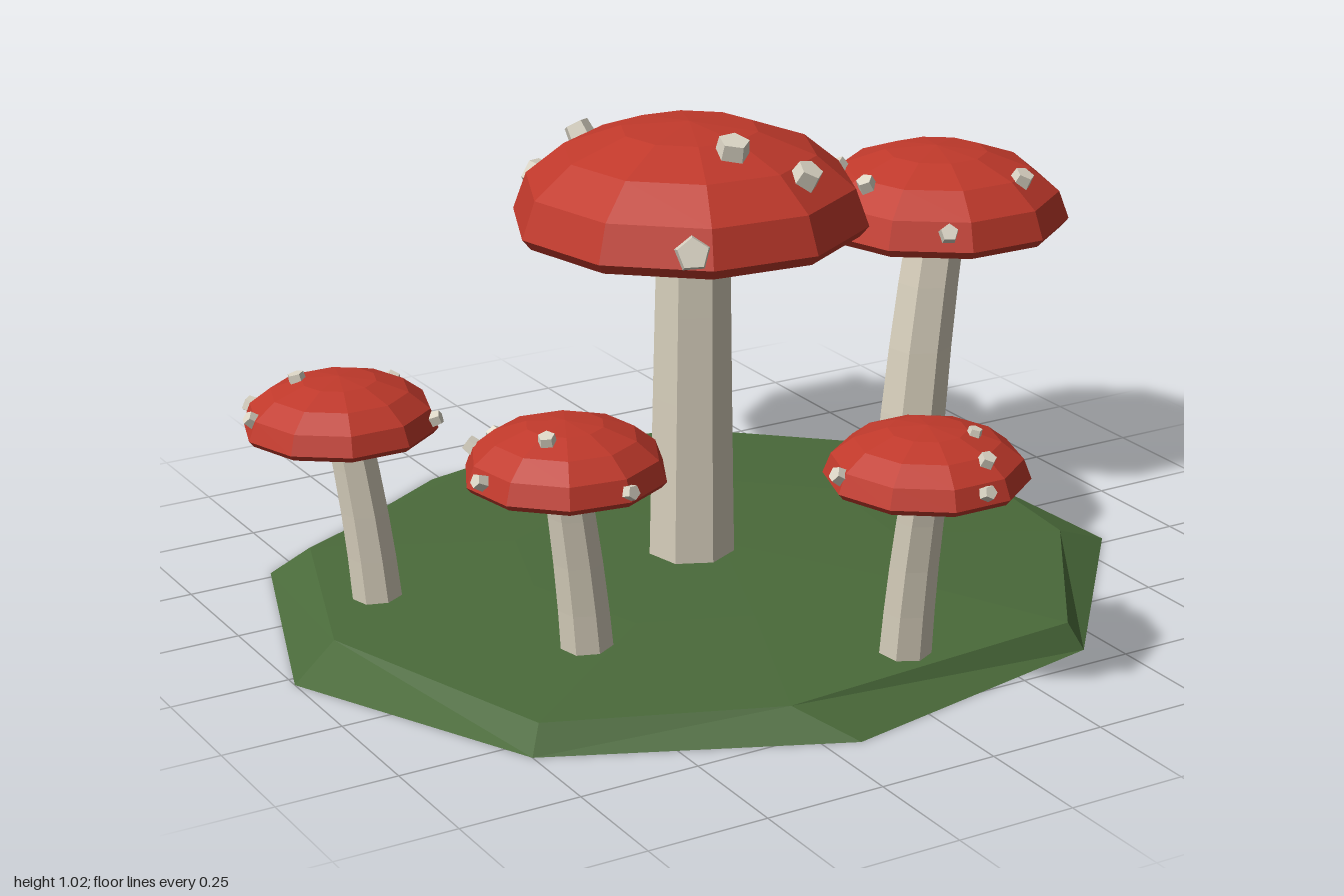
import * as THREE from 'three';

const mat = (name, color) => {
  const m = new THREE.MeshStandardMaterial({ color, flatShading: true });
  m.name = name;
  return m;
};

export function createModel() {
  const model = new THREE.Group();
  model.name = 'mushroomPatch';
  const red = mat('capRed', 0xc0392b);
  const cream = mat('stemCream', 0xd6cebb);
  const pale = mat('wartPale', 0xdad4c4);
  const green = mat('grassGreen', 0x4a6a3a);

  const add = (parent, name, geometry, material) => {
    const mesh = new THREE.Mesh(geometry, material);
    mesh.name = name;
    parent.add(mesh);
    return mesh;
  };

  // Grass mound: irregular nine-sided base, bevelled edge, shallow crown
  const base = [[0.8, -0.3], [0.83, 0.23], [0.44, 0.69], [-0.18, 0.82], [-0.75, 0.56],
    [-1, 0.03], [-0.81, -0.52], [-0.27, -0.84], [0.33, -0.77]];
  const edge = [[0.76, -0.3], [0.7, 0.25], [0.42, 0.66], [-0.27, 0.71], [-0.72, 0.53],
    [-0.89, -0.02], [-0.73, -0.49], [-0.19, -0.75], [0.31, -0.72]];
  const at = (ring, y, s = 1) => ring.map(([x, z]) => [x * s, y, z * s]);
  const b = at(base, 0), t = at(edge, 0.053), c = at(edge, 0.078, 0.5);
  const pos = [];
  const tri = (...p) => p.forEach((v) => pos.push(...v));
  for (let i = 0; i < 9; i++) {
    const j = (i + 1) % 9;
    tri([0, 0, 0], b[i], b[j]);
    // the diagonal always runs from an even base corner to an odd edge corner
    if (i % 2 === 0) {
      tri(b[i], t[j], b[j]);
      tri(b[i], t[i], t[j]);
    } else {
      tri(b[i], t[i], b[j]);
      tri(b[j], t[i], t[j]);
    }
    tri(t[i], c[i], t[j]);
    tri(t[j], c[i], c[j]);
    tri([0, 0.083, 0], c[j], c[i]);
  }
  const mound = new THREE.BufferGeometry();
  mound.setAttribute('position', new THREE.Float32BufferAttribute(pos, 3));
  mound.computeVertexNormals();
  add(model, 'grassMound', mound, green);

  // Stem: tapered seven-sided column bent from its foot to the cap
  const stemGeometry = (foot, head, r0, r1, y1) => {
    const y0 = 0.05, h = y1 - y0;
    const g = new THREE.CylinderGeometry(r1, r0, h, 7, 4, true);
    const p = g.attributes.position;
    for (let i = 0; i < p.count; i++) {
      const k = p.getY(i) / h + 0.5;
      const bend = k * (0.6 + 0.4 * k);
      p.setXYZ(i,
        p.getX(i) + foot[0] + (head[0] - foot[0]) * bend,
        y0 + k * h,
        p.getZ(i) + foot[1] + (head[1] - foot[1]) * bend);
    }
    g.computeVertexNormals();
    return g;
  };

  const mushroom = ({ name, cap, R, rim, top, foot, head, r0, r1, wart, warts, turn = 18 }) => {
    const group = new THREE.Group();
    group.name = name;
    model.add(group);
    add(group, 'stem', stemGeometry(foot, head, r0, r1, rim + 0.02), cream);

    // Cap: ten-sided dome with a narrow lip turned under
    const lip = R * 0.06, h = top - rim - lip, phase = THREE.MathUtils.degToRad(turn);
    const profile = [new THREE.Vector2(R * 0.95, 0)];
    for (let i = 0; i <= 4; i++) {
      const a = (i * Math.PI) / 8;
      profile.push(new THREE.Vector2(i === 4 ? 0 : R * Math.cos(a), lip + h * Math.sin(a)));
    }
    const dome = add(group, 'cap', new THREE.LatheGeometry(profile, 10, phase), red);
    const disc = [new THREE.Vector2(0, 0), new THREE.Vector2(R * 0.95, 0)];
    const gills = add(group, 'gills', new THREE.LatheGeometry(disc, 10, phase), cream);
    for (const m of [dome, gills]) m.position.set(cap[0], rim, cap[1]);

    // Warts: five-sided studs standing along the dome normal
    warts.forEach(([x, z], i) => {
      let dx = x - cap[0], dz = z - cap[1];
      const d = Math.hypot(dx, dz), q = Math.min(d, R * 0.985);
      dx *= q / d;
      dz *= q / d;
      const y = h * Math.sqrt(1 - (q / R) ** 2);
      const normal = new THREE.Vector3(dx / R ** 2, y / h ** 2, dz / R ** 2).normalize();
      const size = wart * (i % 2 ? 0.9 : 1.05);
      const g = new THREE.CylinderGeometry(size * 0.85, size, size * 1.3, 5);
      g.rotateY(i * 1.3);
      const stud = add(group, 'wart', g, pale);
      stud.position.set(cap[0] + dx, rim + lip + y, cap[1] + dz);
      stud.quaternion.setFromUnitVectors(new THREE.Vector3(0, 1, 0), normal);
    });
  };

  mushroom({
    name: 'tallMushroom', cap: [-0.065, -0.02], R: 0.37, rim: 0.785, top: 1.01, turn: 13,
    foot: [-0.07, -0.01], head: [-0.063, -0.01], r0: 0.092, r1: 0.077, wart: 0.036,
    warts: [[-0.245, -0.345], [-0.185, -0.265], [-0.065, 0.15], [0.055, 0.235], [-0.25, 0.31]],
  });
  mushroom({
    name: 'backMushroom', cap: [0.27, -0.59], R: 0.292, rim: 0.607, top: 0.785,
    foot: [0.232, -0.52], head: [0.265, -0.59], r0: 0.078, r1: 0.06, wart: 0.029,
    warts: [[0.19, -0.69], [0.16, -0.53], [0.305, -0.38], [0.37, -0.845], [0.005, -0.47]],
  });
  mushroom({
    name: 'sideMushroom', cap: [0.7, -0.25], R: 0.295, rim: 0.617, top: 0.795,
    foot: [0.62, -0.225], head: [0.7, -0.243], r0: 0.078, r1: 0.066, wart: 0.025,
    warts: [[0.51, -0.355], [0.49, -0.21], [0.8, -0.065], [0.565, 0], [0.53, -0.49]],
  });
  mushroom({
    name: 'frontMushroom', cap: [0.067, 0.66], R: 0.202, rim: 0.43, top: 0.546,
    foot: [0.055, 0.612], head: [0.058, 0.672], r0: 0.054, r1: 0.046, wart: 0.018,
    warts: [[-0.125, 0.645], [0.135, 0.72], [0.105, 0.805], [0.075, 0.855], [0.26, 0.59]],
  });
  mushroom({
    name: 'leaningMushroom', cap: [-0.535, 0.307], R: 0.202, rim: 0.436, top: 0.558, turn: 10,
    foot: [-0.483, 0.29], head: [-0.535, 0.3], r0: 0.054, r1: 0.046, wart: 0.019,
    warts: [[-0.67, 0.175], [-0.73, 0.325], [-0.605, 0.365], [-0.5, 0.505], [-0.59, 0.12]],
  });
  mushroom({
    name: 'outerMushroom', cap: [-0.775, -0.205], R: 0.2, rim: 0.42, top: 0.536,
    foot: [-0.722, -0.17], head: [-0.765, -0.2], r0: 0.052, r1: 0.046, wart: 0.019,
    warts: [[-0.905, -0.355], [-0.96, -0.225], [-0.845, -0.255], [-0.62, -0.085], [-0.615, -0.3]],
  });
  return model;
}
